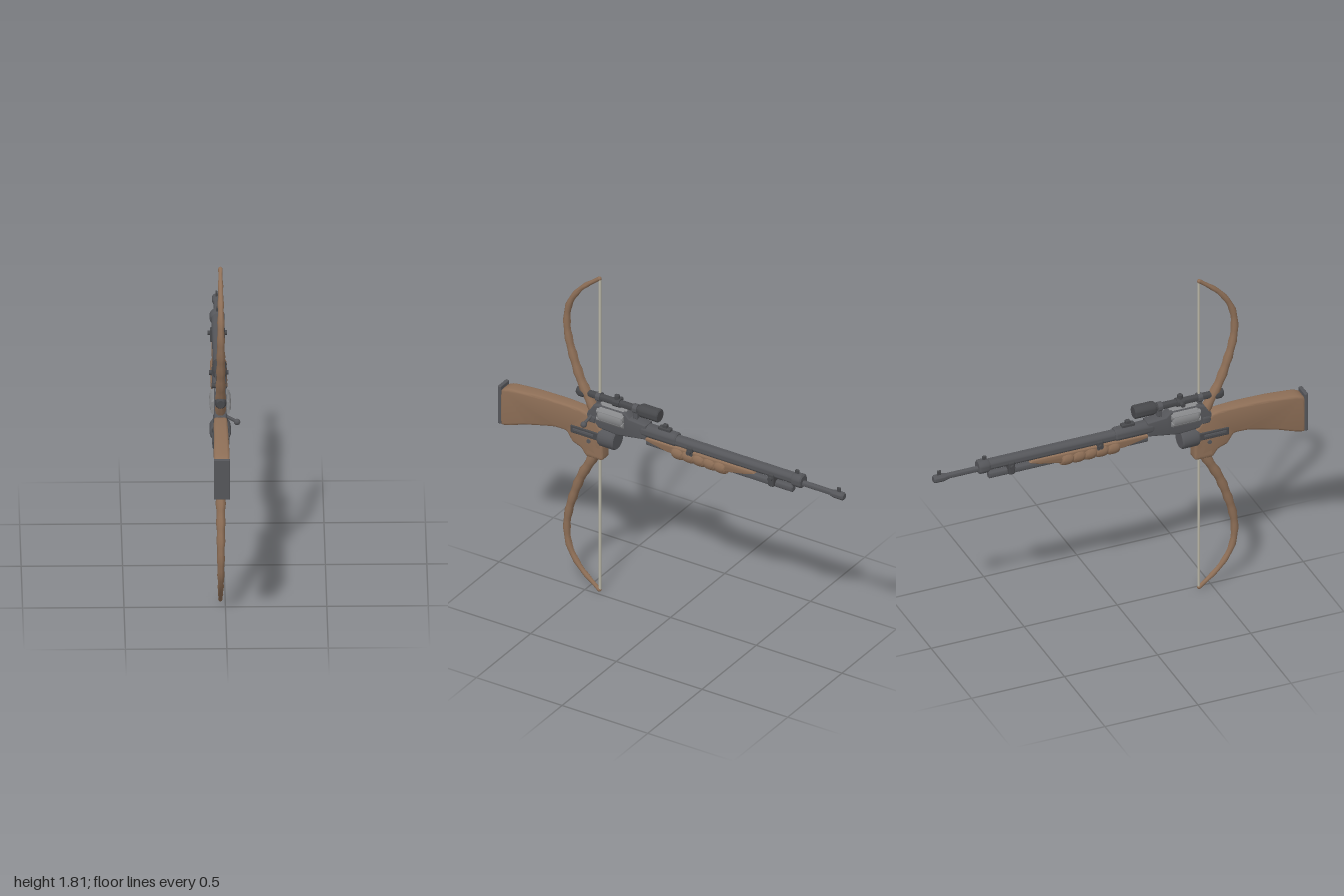
import * as THREE from 'three';
import { toCreasedNormals } from 'three/addons/utils/BufferGeometryUtils.js';
import { RoundedBoxGeometry } from 'three/addons/geometries/RoundedBoxGeometry.js';

const paint = (name, color) => {
  const m = new THREE.MeshStandardMaterial({ color });
  m.name = name;
  return m;
};

export function createModel() {
  const wood = paint('brown wood', 0x8e6f57);
  const steel = paint('dark steel', 0x55565a);
  const black = paint('blackened steel', 0x47484b);
  const silver = paint('bright steel', 0x88898b);
  const cord = paint('pale cord', 0xb9b6a6);

  const model = new THREE.Group();
  model.name = 'crossbowRifle';
  model.position.x = -0.024;

  const add = (name, geo, mat, x = 0, y = 0, z = 0) => {
    const mesh = new THREE.Mesh(geo, mat);
    mesh.name = name;
    mesh.position.set(x, y, z);
    model.add(mesh);
    return mesh;
  };
  const box = (name, mat, w, h, d, x, y, z, r = 0.005) =>
    add(name, new RoundedBoxGeometry(w, h, d, 2, r), mat, x, y, z);
  // Turned part along z, given as [z, radius] pairs from front (low z) to back
  const turned = (name, mat, y, profile, x = 0, sides = 24) => {
    const pts = profile.map(([z, r]) => new THREE.Vector2(r, z));
    pts.unshift(new THREE.Vector2(0, profile[0][0]));
    pts.push(new THREE.Vector2(0, profile[profile.length - 1][0]));
    const geo = new THREE.LatheGeometry(pts, sides).rotateX(Math.PI / 2);
    return add(name, toCreasedNormals(geo, 0.6), mat, x, y, 0);
  };
  // Bevelled plate cut from a side outline of [z, y] pairs
  const plate = (name, mat, outline, width, bevel, smooth = false) => {
    const pts = outline.map(p => new THREE.Vector2(p[0], p[1]));
    const shape = smooth ? new THREE.Shape().setFromPoints(new THREE.CatmullRomCurve3(
      pts.map(p => new THREE.Vector3(p.x, p.y, 0)), true, 'catmullrom', 0.2).getPoints(70))
      : new THREE.Shape(pts);
    const depth = width - 2 * bevel;
    const geo = new THREE.ExtrudeGeometry(shape, {
      depth, bevelThickness: bevel, bevelSize: bevel, bevelOffset: -bevel, bevelSegments: 3,
    }).translate(0, 0, -depth / 2).rotateY(-Math.PI / 2);
    return add(name, toCreasedNormals(geo, 0.6), mat);
  };

  // Shoulder stock, narrowing toward the wrist
  const stock = plate('stock', wood, [
    [0.984, 0.995], [0.94, 1.02], [0.79, 1.034], [0.625, 1.038], [0.515, 1.032], [0.44, 1.0],
    [0.4, 0.95], [0.394, 0.86], [0.394, 0.785], [0.41, 0.777], [0.49, 0.777], [0.52, 0.815], [0.57, 0.835],
    [0.605, 0.885], [0.68, 0.885], [0.84, 0.845], [0.982, 0.803]], 0.078, 0.013, true);
  const sp = stock.geometry.attributes.position;
  for (let i = 0; i < sp.count; i++) {
    const t = THREE.MathUtils.clamp((sp.getZ(i) - 0.5) / 0.4, 0, 1);
    sp.setX(i, sp.getX(i) * (0.84 + 0.16 * t));
  }
  box('buttPlate', steel, 0.08, 0.215, 0.02, 0, 0.915, 0.99);
  box('gripBlock', wood, 0.066, 0.07, 0.1, 0, 0.82, 0.445, 0.012);

  // Receiver with top strap, and the revolving cylinder
  plate('receiver', steel, [
    [0.5, 0.98], [0.485, 1.025], [0.45, 1.08], [0.42, 1.092], [0.265, 1.092], [0.24, 1.068],
    [0.14, 1.06], [0.14, 0.98], [0.25, 0.962], [0.31, 0.952], [0.46, 0.965]], 0.062, 0.008);
  turned('cylinder', silver, 1.044, [[0.27, 0.044], [0.278, 0.053], [0.405, 0.053], [0.415, 0.046]]);
  for (let i = 0; i < 6; i++) {
    const a = (i + 0.5) * Math.PI / 3;
    turned('cylinderChamber', silver, 1.044 + Math.sin(a) * 0.04,
      [[0.266, 0.014], [0.42, 0.014]], Math.cos(a) * 0.04, 10);
  }

  // Bolt handle on the left side
  const bolt = new THREE.LineCurve3(new THREE.Vector3(0, 1.03, 0.455), new THREE.Vector3(0.08, 0.992, 0.47));
  add('boltArm', new THREE.TubeGeometry(bolt, 1, 0.008, 10), steel);
  add('boltKnob', new THREE.SphereGeometry(0.016, 14, 10), steel, 0.082, 0.99, 0.47);
  turned('boltCollar', steel, 1.0, [[0.435, 0.037], [0.47, 0.037], [0.49, 0.028]]);

  // Drum below the receiver and the slide behind it
  turned('drum', steel, 0.906, [[0.322, 0.047], [0.33, 0.053], [0.408, 0.053], [0.416, 0.048]]);
  for (const s of [-1, 1]) {
    box('sideRail', black, 0.012, 0.042, 0.16, s * 0.034, 0.912, 0.495);
    box('sideRailStrip', steel, 0.006, 0.014, 0.12, s * 0.04, 0.914, 0.5, 0.002);
    add('gripPin', new THREE.CylinderGeometry(0.011, 0.011, 0.008, 14).rotateZ(Math.PI / 2),
      steel, s * 0.034, 0.87, 0.472);
  }

  // Barrel, muzzle and sights
  turned('barrelBase', steel, 1.022, [[-0.03, 0.03], [-0.022, 0.036], [0.165, 0.036], [0.18, 0.03]]);
  turned('barrel', steel, 1.018, [[-0.72, 0.029], [0, 0.029]]);
  turned('barrelCap', steel, 1.016, [
    [-0.762, 0.03], [-0.755, 0.037], [-0.715, 0.037], [-0.7, 0.029]]);
  turned('muzzleTube', steel, 1.006, [[-0.97, 0.015], [-0.74, 0.015]]);
  turned('muzzleTip', steel, 1.004, [
    [-1, 0.015], [-0.992, 0.021], [-0.945, 0.021], [-0.92, 0.015]]);
  box('muzzleSight', black, 0.01, 0.03, 0.022, 0, 1.033, -0.968, 0.004);
  box('frontSight', black, 0.012, 0.03, 0.022, 0, 1.057, -0.725, 0.004);
  box('rearSightBase', black, 0.03, 0.02, 0.07, 0, 1.06, 0.045);
  box('rearSightLeaf', black, 0.022, 0.028, 0.024, 0, 1.074, 0.045);

  // Tube under the barrel, with clamps
  turned('magazineTube', steel, 0.958, [
    [-0.705, 0.015], [-0.7, 0.02], [0.147, 0.02]]);
  for (const [z, y, h] of [[-0.59, 0.984, 0.072], [-0.115, 0.992, 0.058]]) {
    box('clamp', black, 0.074, h, 0.034, 0, y, z, 0.008);
    add('clampBolt', new THREE.CylinderGeometry(0.012, 0.012, 0.096, 12).rotateZ(Math.PI / 2),
      black, 0, 0.994, z);
  }

  // Wooden fore-end with a ribbed pump grip
  plate('foreEnd', wood, [
    [0.145, 0.992], [0.145, 0.975], [0.02, 0.95], [-0.32, 0.945], [-0.44, 0.968], [-0.49, 0.985],
    [-0.48, 0.997]], 0.062, 0.006);
  const ribs = [];
  for (let i = 0; i <= 40; i++) {
    const t = i / 40;
    ribs.push([-0.32 + 0.31 * t, 0.035 + 0.007 * Math.sqrt(Math.abs(Math.sin(t * Math.PI * 5)))]);
  }
  turned('pumpGrip', wood, 0.959, ribs);

  // Telescopic sight
  turned('scopeTube', black, 1.123, [[0.18, 0.018], [0.53, 0.018]]);
  turned('scopeFrontBell', black, 1.124, [
    [0.075, 0.03], [0.08, 0.035], [0.178, 0.035], [0.19, 0.03], [0.195, 0.018]]);
  turned('scopeEyepiece', black, 1.122, [
    [0.49, 0.018], [0.51, 0.024], [0.52, 0.028], [0.542, 0.028], [0.556, 0.02]]);
  for (const z of [0.215, 0.43]) {
    turned('scopeRing', steel, 1.123, [[z - 0.012, 0.024], [z + 0.012, 0.024]]);
    box('scopeMount', steel, 0.024, 0.05, 0.026, 0, 1.092, z);
  }
  turned('scopeTurretRing', black, 1.123, [[0.305, 0.023], [0.345, 0.023]]);
  add('scopeTurret', new THREE.CylinderGeometry(0.014, 0.014, 0.03, 14), black, 0, 1.148, 0.327);
  add('scopeSideTurret', new THREE.CylinderGeometry(0.012, 0.012, 0.024, 14).rotateZ(Math.PI / 2),
    black, -0.03, 1.123, 0.327);

  // Knotted bow limbs, mirrored above and below
  const mid = 0.907;
  const limbPoints = [[0.43, 0.07], [0.48, 0.17], [0.533, 0.268], [0.577, 0.385], [0.61, 0.502],
    [0.62, 0.6], [0.603, 0.7], [0.54, 0.8], [0.43, 0.894]];
  for (const s of [1, -1]) {
    const curve = new THREE.CatmullRomCurve3(limbPoints.map(([z, y]) => new THREE.Vector3(0, mid + s * y, z)));
    const steps = 30, sides = 10;
    const geo = new THREE.TubeGeometry(curve, steps, 1, sides);
    const pos = geo.attributes.position;
    const v = new THREE.Vector3();
    for (let i = 0; i <= steps; i++) {
      const c = curve.getPointAt(i / steps);
      const r = (0.026 - 0.016 * Math.pow(i / steps, 1.5)) * (i % 3 === 0 ? 1.1 : 0.94);
      for (let j = 0; j <= sides; j++) {
        const k = i * (sides + 1) + j;
        v.fromBufferAttribute(pos, k).sub(c).multiplyScalar(r).add(c);
        pos.setXYZ(k, v.x, v.y, v.z);
      }
    }
    add(s > 0 ? 'upperLimb' : 'lowerLimb', toCreasedNormals(geo, 0.7), wood);
    add('limbTip', new THREE.SphereGeometry(0.011, 10, 8), wood, 0, mid + s * 0.893, 0.43);
  }
  add('bowString', new THREE.CylinderGeometry(0.007, 0.007, 1.78, 8), cord, 0, mid, 0.427);

  const root = new THREE.Group();
  root.add(model);
  return root;
}
